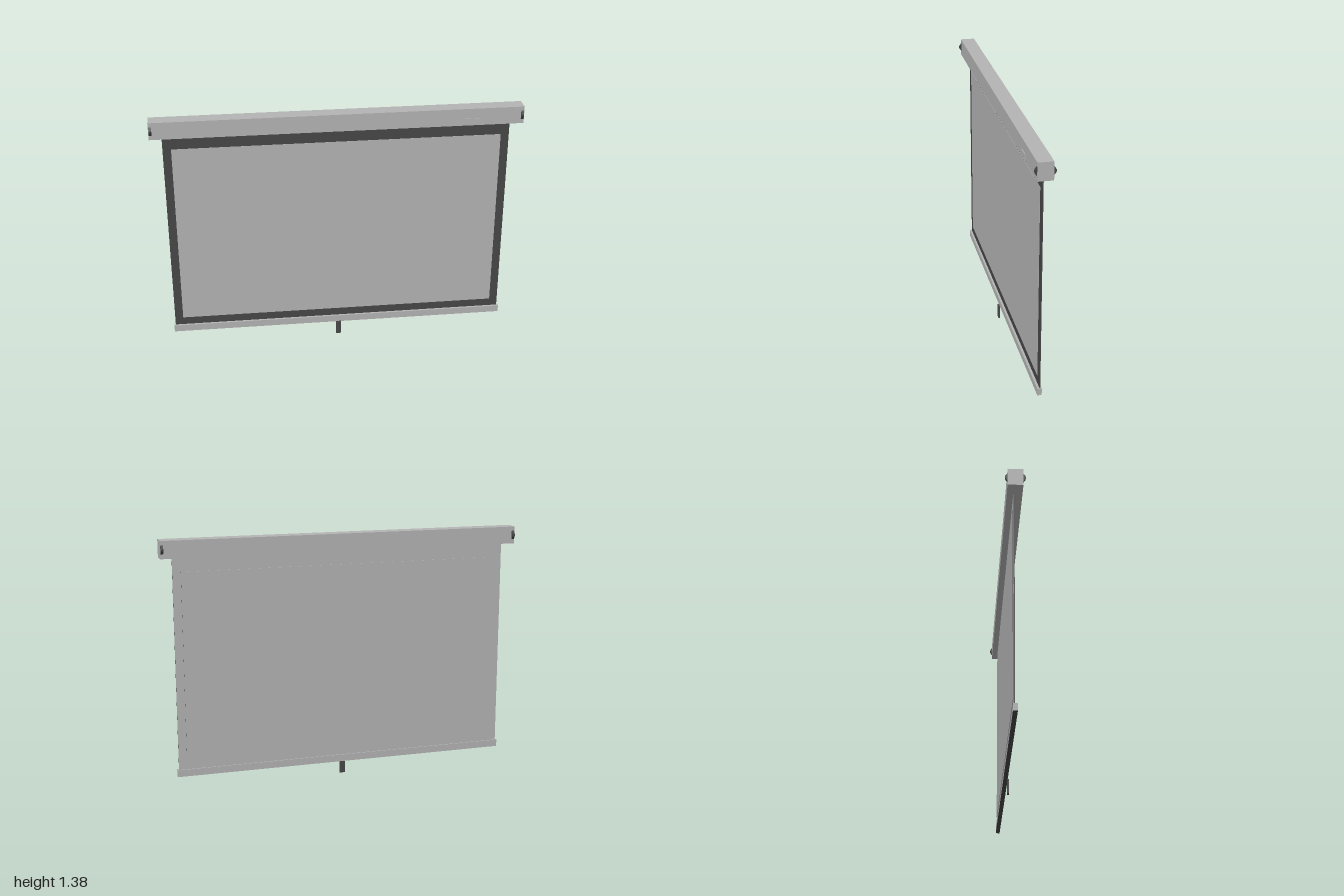
import * as THREE from 'three';

const light = new THREE.MeshStandardMaterial({ color: 0xb4b4b4 });
light.name = 'light grey';
const dark = new THREE.MeshStandardMaterial({ color: 0x474747 });
dark.name = 'dark grey';

export function createModel() {
  const model = new THREE.Group();

  // Box given by its minimum and maximum corners
  const box = (name, [x0, y0, z0], [x1, y1, z1], material) => {
    const mesh = new THREE.Mesh(new THREE.BoxGeometry(x1 - x0, y1 - y0, z1 - z0), material);
    mesh.position.set((x0 + x1) / 2, (y0 + y1) / 2, (z0 + z1) / 2);
    mesh.name = name;
    model.add(mesh);
    return mesh;
  };

  // Roller housing with a small label plate on the front
  box('housing', [-1, 1.282, -0.04], [1, 1.377, 0.04], light);
  box('labelPlate', [0.68, 1.29, 0.04], [0.755, 1.322, 0.044], light);

  // Screen cloth: dark border in front and on the edges, light at the back
  box('screenCloth', [-0.935, 0.11, -0.007], [0.935, 1.285, -0.002],
    [dark, dark, dark, dark, dark, light]);
  box('projectionArea', [-0.89, 0.16, -0.002], [0.89, 1.205, -0.0005], light);
  box('backPanel', [-0.89, 0.16, -0.01], [0.89, 1.205, -0.007],
    [dark, dark, light, light, light, light]);

  // Weighted bottom bar with a dark underside, and the pull tab
  box('bottomBar', [-0.943, 0.076, -0.013], [0.943, 0.115, 0.01],
    [light, light, light, dark, light, light]);
  box('pullTab', [-0.015, 0, 0.009], [0.015, 0.078, 0.018], dark);

  // Angular end clips that peep out at the front and back of the housing
  const profile = new THREE.Shape([
    [-0.052, 1.324], [-0.038, 1.303], [0.038, 1.303], [0.052, 1.324],
    [0.052, 1.336], [0.038, 1.357], [-0.038, 1.357], [-0.052, 1.336],
  ].map(([z, y]) => new THREE.Vector2(z, y)));
  const clip = new THREE.ExtrudeGeometry(profile, { depth: 0.014, bevelEnabled: false });
  clip.translate(0, 0, -0.007).rotateY(Math.PI / 2);
  for (const side of [-1, 1]) {
    const mesh = new THREE.Mesh(clip, dark);
    mesh.position.x = side * 0.99;
    mesh.name = side > 0 ? 'leftEndClip' : 'rightEndClip';
    model.add(mesh);
  }

  return model;
}
